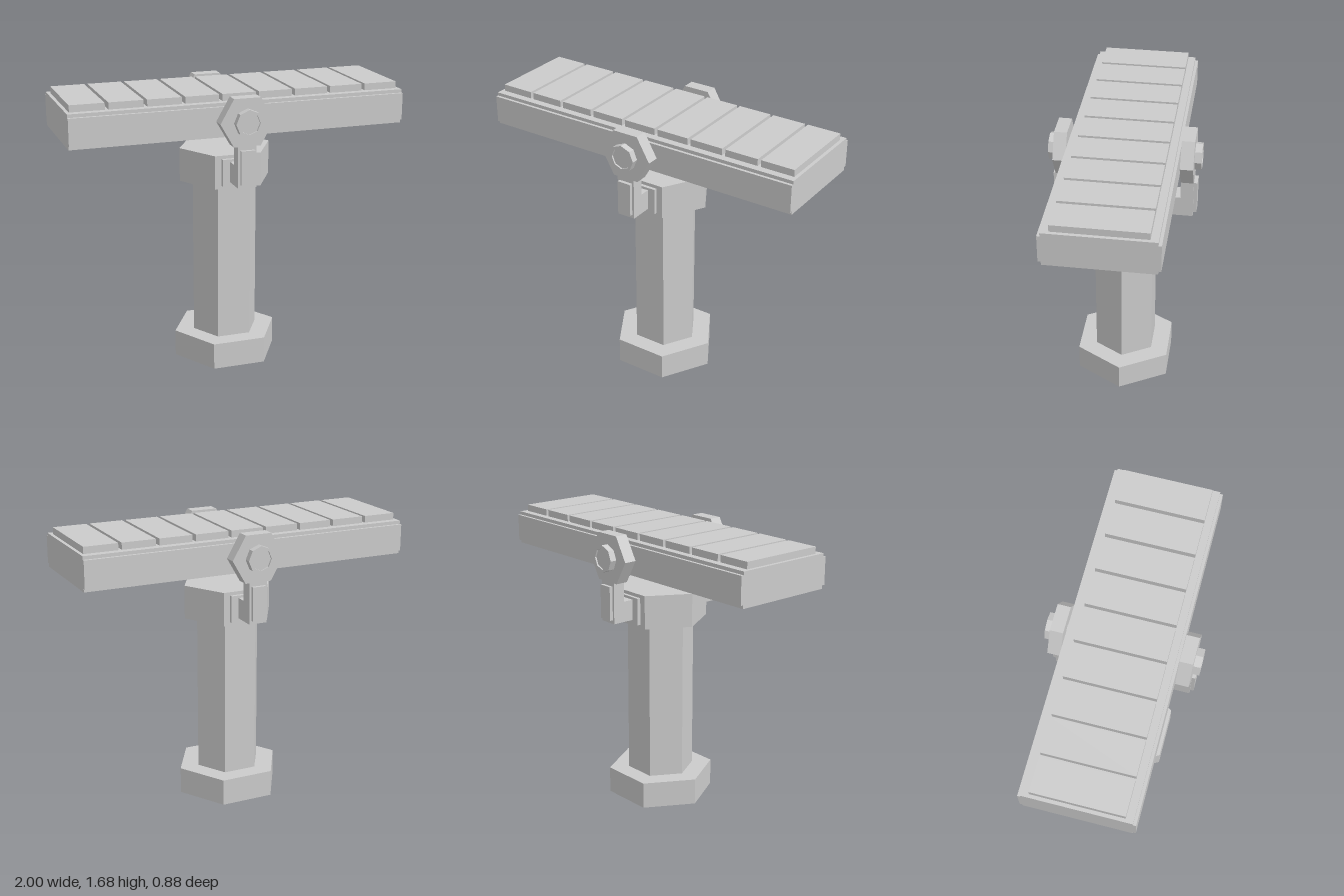
import * as THREE from 'three';

const material = new THREE.MeshStandardMaterial({ color: 0xcccccc, flatShading: true });

function add(parent, name, geometry, x = 0, y = 0, z = 0) {
  const mesh = new THREE.Mesh(geometry, material);
  mesh.name = name;
  mesh.position.set(x, y, z);
  parent.add(mesh);
  return mesh;
}

// Box given by its width and its y and z extents
function block(parent, name, width, y0, y1, z0, z1, x = 0) {
  return add(parent, name, new THREE.BoxGeometry(width, y1 - y0, z1 - z0), x, (y0 + y1) / 2, (z0 + z1) / 2);
}

// Upright hexagonal prism with corners on the x axis
function hexPrism(parent, name, radius, y0, y1) {
  const geometry = new THREE.CylinderGeometry(radius, radius, y1 - y0, 6).rotateY(Math.PI / 6);
  return add(parent, name, geometry, 0, (y0 + y1) / 2);
}

// Regular polygon in the xy plane with a corner on +x
function polygon(radius, sides) {
  return Array.from({ length: sides }, (_, i) => {
    const a = (i / sides) * Math.PI * 2;
    return new THREE.Vector2(Math.cos(a) * radius, Math.sin(a) * radius);
  });
}

function extrude(points, depth, hole) {
  const shape = new THREE.Shape(points);
  if (hole) shape.holes.push(new THREE.Path(hole));
  return new THREE.ExtrudeGeometry(shape, { depth, bevelEnabled: false });
}

// One side of the fork that holds the deck, built towards +z
function createBracket() {
  const bracket = new THREE.Group();
  const pivotY = 1.545;
  block(bracket, 'mountingPlate', 0.2, 1.14, 1.3, 0.22, 0.263);
  block(bracket, 'horizontalArm', 0.11, 1.163, 1.285, 0.25, 0.36);
  block(bracket, 'uprightArm', 0.11, 1.163, 1.45, 0.325, 0.4);
  block(bracket, 'armCover', 0.084, 1.185, 1.385, 0.39, 0.42);
  add(bracket, 'pivotPlate', extrude(polygon(0.16, 6), 0.075), 0, pivotY, 0.325);
  // Pivot bolt with a shallow recess in its head
  add(bracket, 'boltRim', extrude(polygon(0.08, 8), 0.04, polygon(0.063, 8)), 0, pivotY, 0.4);
  add(bracket, 'boltCore', extrude(polygon(0.064, 8), 0.125), 0, pivotY, 0.305);
  return bracket;
}

export function createModel() {
  const model = new THREE.Group();
  model.name = 'pivotingPlatform';

  // Stand
  hexPrism(model, 'base', 0.32, 0, 0.16);
  hexPrism(model, 'column', 0.2, 0.16, 1.12);
  hexPrism(model, 'collar', 0.28, 1.12, 1.32);

  // Fork, front and back
  for (const [name, angle] of [['frontBracket', 0], ['backBracket', Math.PI]]) {
    const bracket = createBracket();
    bracket.name = name;
    bracket.rotation.y = angle;
    model.add(bracket);
  }

  // Deck with a raised strip along each long side
  const deck = new THREE.Group();
  deck.name = 'deck';
  model.add(deck);
  block(deck, 'deckBody', 2, 1.445, 1.645, -0.303, 0.303);
  block(deck, 'frontStrip', 2, 1.465, 1.625, 0.303, 0.32);
  block(deck, 'backStrip', 2, 1.465, 1.625, -0.32, -0.303);

  // Row of planks on top
  for (let i = -4; i <= 4; i++) {
    block(deck, 'plank', 0.2, 1.645, 1.685, -0.26, 0.26, i * 0.22);
  }

  return model;
}
